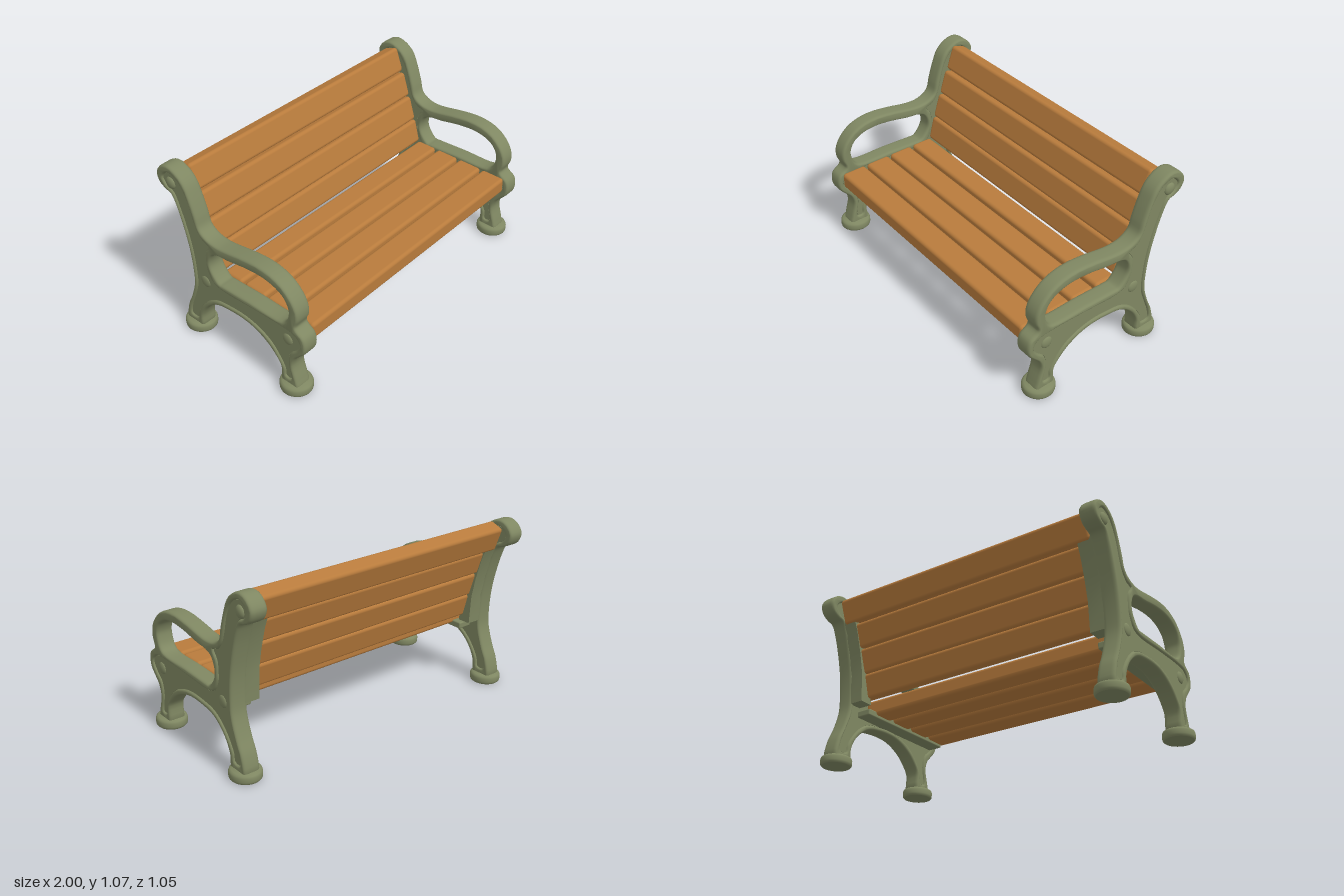
import * as THREE from 'three';
import { toCreasedNormals } from 'three/addons/utils/BufferGeometryUtils.js';
import { RoundedBoxGeometry } from 'three/addons/geometries/RoundedBoxGeometry.js';

const paintedIron = new THREE.MeshStandardMaterial({ name: 'green painted iron', color: 0x7f8762 });
const wood = new THREE.MeshStandardMaterial({ name: 'warm wood', color: 0xb87b3c });

const FRAME_X = 0.91; // middle of each cast end frame
const SLAT_LENGTH = 1.724;

// Profiles are [z, y] pairs in the side plane
const OUTLINE = [
  [0.457, 0.04], [0.45, 0.09], [0.426, 0.19], [0.443, 0.25], [0.477, 0.29], [0.514, 0.335], [0.523, 0.385],
  [0.509, 0.435], [0.466, 0.467], [0.457, 0.485], [0.474, 0.535], [0.472, 0.59], [0.443, 0.65], [0.38, 0.71],
  [0.3, 0.743], [0.2, 0.752], [0.074, 0.738], [-0.04, 0.718], [-0.1, 0.713], [-0.168, 0.724],
  [-0.219, 0.76], [-0.239, 0.83], [-0.273, 0.93], [-0.31, 1.008], [-0.366, 1.055], [-0.432, 1.073],
  [-0.489, 1.05], [-0.523, 0.997], [-0.503, 0.94], [-0.457, 0.912], [-0.42, 0.9], [-0.386, 0.832],
  [-0.347, 0.703], [-0.321, 0.577], [-0.31, 0.435], [-0.315, 0.35], [-0.352, 0.235], [-0.392, 0.145],
  [-0.403, 0.04], [-0.281, 0.04], [-0.273, 0.12], [-0.239, 0.193], [-0.182, 0.253], [-0.125, 0.287],
  [-0.04, 0.304], [0.074, 0.308], [0.159, 0.292], [0.244, 0.25], [0.3, 0.2], [0.338, 0.145], [0.344, 0.04],
];
const ARM_OPENING = [
  [0.41, 0.545], [0.412, 0.585], [0.386, 0.64], [0.33, 0.676], [0.244, 0.693], [0.13, 0.687],
  [-0.01, 0.662], [-0.09, 0.653], [-0.134, 0.633], [-0.16, 0.582], [-0.16, 0.535], [-0.13, 0.483],
  [-0.1, 0.457], [-0.07, 0.457], [0.13, 0.465], [0.358, 0.471], [0.392, 0.497],
];
const PANEL = [
  [0.41, 0.09], [0.395, 0.2], [0.41, 0.28], [0.46, 0.33], [0.485, 0.38], [0.45, 0.425], [0.37, 0.435],
  [0.15, 0.43], [-0.09, 0.42], [-0.15, 0.44], [-0.19, 0.51], [-0.195, 0.56], [-0.19, 0.63], [-0.16, 0.68],
  [-0.2, 0.695], [-0.24, 0.74], [-0.265, 0.8], [-0.3, 0.92], [-0.36, 1.01], [-0.43, 1.03], [-0.475, 0.985],
  [-0.45, 0.945], [-0.4, 0.92], [-0.36, 0.83], [-0.32, 0.7], [-0.295, 0.577], [-0.285, 0.435],
  [-0.29, 0.34], [-0.325, 0.24], [-0.36, 0.15], [-0.365, 0.09], [-0.315, 0.09], [-0.305, 0.14],
  [-0.265, 0.21], [-0.2, 0.28], [-0.13, 0.32], [-0.04, 0.335], [0.08, 0.34], [0.18, 0.32],
  [0.27, 0.275], [0.33, 0.21], [0.37, 0.14], [0.375, 0.09],
];
const BACK_LEDGE = [
  [-0.22, 0.4], [-0.235, 0.5], [-0.25, 0.6], [-0.3, 0.75], [-0.35, 0.89], [-0.408, 0.9],
  [-0.378, 0.83], [-0.34, 0.7], [-0.314, 0.577], [-0.304, 0.4],
];

// Smooth closed loop through the profile points
function loop(points, divisions) {
  const curve = new THREE.CatmullRomCurve3(points.map(([z, y]) => new THREE.Vector3(z, y, 0)), true);
  return curve.getPoints(divisions).slice(0, -1).map((p) => new THREE.Vector2(p.x, p.y));
}

// Smooth normals, enlarged meanwhile so that fine edges stay distinct
function smooth(geometry) {
  return toCreasedNormals(geometry.scale(100, 100, 100), 0.75).scale(0.01, 0.01, 0.01);
}

// Extrude a side profile along x, centred on x = 0, with rounded edges
function extrudeSide(shape, width, round = 0, inset = 0) {
  const geometry = new THREE.ExtrudeGeometry(shape, {
    depth: width - 2 * round, bevelEnabled: round > 0, bevelThickness: round,
    bevelSize: inset, bevelOffset: -inset, bevelSegments: 4,
  });
  return smooth(geometry.translate(0, 0, round - width / 2).rotateY(-Math.PI / 2));
}

function addMesh(parent, name, geometry, material, x = 0, y = 0, z = 0) {
  const mesh = new THREE.Mesh(geometry, material);
  mesh.name = name;
  mesh.position.set(x, y, z);
  parent.add(mesh);
  return mesh;
}

function createEndFrame(side) {
  const frame = new THREE.Group();
  frame.name = side > 0 ? 'leftEndFrame' : 'rightEndFrame';
  const x = side * FRAME_X;

  // Raised rim and armrest, with a slightly thinner web filling the recessed panel
  const rim = new THREE.Shape(loop(OUTLINE, 204));
  rim.holes.push(new THREE.Path(loop(ARM_OPENING, 85)), new THREE.Path(loop(PANEL, 172)));
  addMesh(frame, 'rimAndArmrest', extrudeSide(rim, 0.1, 0.022, 0.012), paintedIron, x);
  addMesh(frame, 'recessedWeb', extrudeSide(new THREE.Shape(loop(PANEL, 172)), 0.08), paintedIron, x);

  // Round feet
  const footProfile = [
    [0, 0], [0.082, 0], [0.088, 0.006], [0.09, 0.016], [0.09, 0.038], [0.086, 0.049], [0.076, 0.055], [0, 0.057],
  ].map(([r, y]) => new THREE.Vector2(r, y));
  const foot = smooth(new THREE.LatheGeometry(footProfile, 32));
  for (const [name, z] of [['frontFoot', 0.405], ['rearFoot', -0.345]]) {
    addMesh(frame, name, foot, paintedIron, x, 0, z).scale.z = 1.05;
  }

  // Domed bolt heads on the outer face: y, z, height
  for (const [y, z, height] of [[0.365, 0.395, 0.014], [0.405, -0.22, 0.012], [0.97, -0.418, 0.018]]) {
    const bolt = addMesh(frame, 'boltHead', new THREE.SphereGeometry(0.036, 20, 14), paintedIron, side * 0.948, y, z);
    bolt.scale.x = height / 0.036;
  }

  // Thin inner ledges under the seat slats and behind the back slats
  addMesh(frame, 'seatLedge', new RoundedBoxGeometry(0.1, 0.04, 0.7, 2, 0.008), paintedIron, side * 0.83, 0.357, 0.12);
  const ledge = new THREE.Shape(BACK_LEDGE.map(([z, y]) => new THREE.Vector2(z, y)));
  addMesh(frame, 'backLedge', extrudeSide(ledge, 0.1), paintedIron, side * 0.83);
  return frame;
}

export function createModel() {
  const bench = new THREE.Group();
  bench.name = 'parkBench';
  bench.add(createEndFrame(1), createEndFrame(-1));

  // Seat slats: rear and front edge
  for (const [z0, z1] of [[-0.168, -0.03], [-0.01, 0.142], [0.16, 0.318], [0.335, 0.492]]) {
    const geometry = new RoundedBoxGeometry(SLAT_LENGTH, 0.1, z1 - z0, 4, 0.02);
    addMesh(bench, 'seatSlat', geometry, wood, 0, 0.406, (z0 + z1) / 2);
  }

  // Back slats: front face from its lower edge to its upper edge, and thickness
  const backSlats = [
    [-0.16, 0.457, -0.2, 0.604, 0.09], [-0.203, 0.606, -0.25, 0.755, 0.09],
    [-0.256, 0.76, -0.305, 0.907, 0.09], [-0.315, 0.914, -0.368, 1.06, 0.1],
  ];
  for (const [z0, y0, z1, y1, thickness] of backSlats) {
    const geometry = new RoundedBoxGeometry(SLAT_LENGTH, Math.hypot(z1 - z0, y1 - y0), thickness, 4, 0.02);
    geometry.translate(0, 0, -thickness / 2);
    const slat = addMesh(bench, 'backSlat', geometry, wood, 0, (y0 + y1) / 2, (z0 + z1) / 2);
    slat.rotation.x = Math.atan2(z1 - z0, y1 - y0);
  }
  return bench;
}
